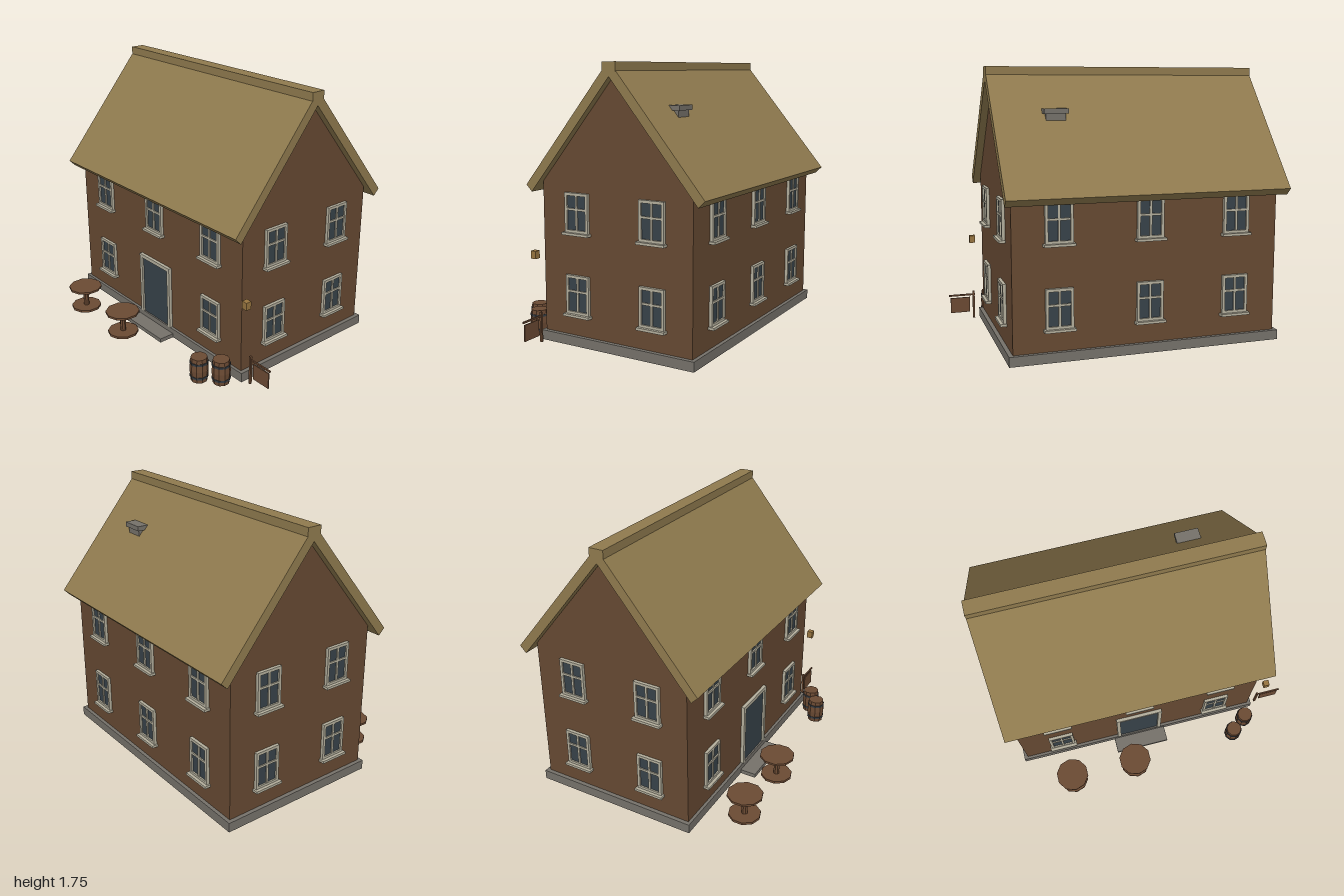
import * as THREE from 'three';

const mat = (name, color) => {
  const m = new THREE.MeshStandardMaterial({ color });
  m.name = name;
  return m;
};

export function createModel() {
  const wall = mat('brown wall', 0x664932);
  const thatch = mat('thatch', 0x8f7a4e);
  const stone = mat('grey stone', 0x75716a);
  const trim = mat('pale trim', 0xb3ae9c);
  const glass = mat('dark slate', 0x374249);
  const wood = mat('wood', 0x6b4a33);
  const iron = mat('iron', 0x363b40);
  const brass = mat('lantern gold', 0x97743f);

  const model = new THREE.Group();
  model.name = 'inn';

  const add = (parent, name, geo, material, x = 0, y = 0, z = 0) => {
    const mesh = new THREE.Mesh(geo, material);
    mesh.name = name;
    mesh.position.set(x, y, z);
    parent.add(mesh);
    return mesh;
  };
  // Box given by its min and max on each axis
  const box = (parent, name, material, x0, x1, y0, y1, z0, z1) =>
    add(parent, name, new THREE.BoxGeometry(x1 - x0, y1 - y0, z1 - z0), material,
      (x0 + x1) / 2, (y0 + y1) / 2, (z0 + z1) / 2);
  const group = (name, x, y, z, turn = 0) => {
    const g = new THREE.Group();
    g.name = name;
    g.position.set(x, y, z);
    g.rotation.y = turn;
    model.add(g);
    return g;
  };
  // Profile in (z, y), extruded along x from x0 to x1
  const alongX = (name, pts, material, x0, x1) => {
    const shape = new THREE.Shape(pts.map(([z, y]) => new THREE.Vector2(z, y)));
    const geo = new THREE.ExtrudeGeometry(shape, { depth: x1 - x0, bevelEnabled: false });
    geo.rotateY(-Math.PI / 2);
    return add(model, name, geo, material, x1, 0, 0);
  };

  // House body
  const midX = -0.097, midZ = -0.125, halfX = 0.856, halfZ = 0.535;
  const offset = (pts) => pts.map(([z, y]) => [z + midZ, y]);
  box(model, 'foundation', stone, -0.979, 0.786, 0, 0.062, -0.684, 0.429);
  alongX('gabledWalls', offset([
    [-halfZ, 0.06], [halfZ, 0.06], [halfZ, 1.02], [0, 1.664], [-halfZ, 1.02],
  ]), wall, midX - halfX, midX + halfX);

  // Roof: one chevron, with a square ridge cap
  alongX('roof', offset([
    [0.591, 0.955], [0.633, 0.997], [0.045, 1.705], [-0.045, 1.705],
    [-0.633, 0.997], [-0.591, 0.955], [0, 1.667],
  ]), thatch, -1, 0.805);
  box(model, 'ridgeCap', thatch, -1, 0.806, 1.696, 1.753, midZ - 0.048, midZ + 0.048);

  // Chimney on the back slope
  box(model, 'chimneyStack', stone, 0.357, 0.482, 1.36, 1.47, -0.402, -0.356);
  box(model, 'chimneyCap', stone, 0.342, 0.497, 1.466, 1.497, -0.417, -0.342);

  // Windows, built facing +z with the frame bottom at y = 0
  const w = 0.086, h = 0.248, bar = 0.018;
  const frameShape = new THREE.Shape([[-w, 0], [w, 0], [w, h], [-w, h]]
    .map((p) => new THREE.Vector2(...p)));
  frameShape.holes.push(new THREE.Path([[-w + bar, bar], [-w + bar, h - bar],
    [w - bar, h - bar], [w - bar, bar]].map((p) => new THREE.Vector2(...p))));
  const frameGeo = new THREE.ExtrudeGeometry(frameShape, { depth: 0.02, bevelEnabled: false });
  const addWindow = (x, y, z, turn) => {
    const g = group('window', x, y, z, turn);
    add(g, 'windowFrame', frameGeo, trim);
    box(g, 'windowGlass', glass, -w + 0.01, w - 0.01, 0.01, h - 0.01, 0.002, 0.01);
    box(g, 'mullion', trim, -0.007, 0.007, bar, h - bar, 0.008, 0.018);
    box(g, 'transom', trim, -w + bar, w - bar, 0.139, 0.153, 0.008, 0.018);
    box(g, 'windowSill', trim, -0.097, 0.097, -0.014, 0.002, 0, 0.04);
  };
  for (const y of [0.202, 0.718]) {
    for (const dx of [-0.572, 0, 0.572]) {
      if (dx !== 0 || y > 0.5) addWindow(midX + dx, y, midZ + halfZ, 0);
      addWindow(midX + dx, y, midZ - halfZ, Math.PI);
    }
    for (const z of [0.146, -0.392]) {
      addWindow(midX + halfX, y, z, Math.PI / 2);
      addWindow(midX - halfX, y, z, -Math.PI / 2);
    }
  }

  // Door and step
  const front = midZ + halfZ;
  box(model, 'door', glass, -0.24, 0.046, 0.062, 0.48, front, front + 0.009);
  box(model, 'doorJambLeft', trim, 0.042, 0.067, 0.062, 0.503, front, front + 0.022);
  box(model, 'doorJambRight', trim, -0.261, -0.236, 0.062, 0.503, front, front + 0.022);
  box(model, 'doorLintel', trim, -0.236, 0.042, 0.478, 0.503, front, front + 0.022);
  box(model, 'doorStep', stone, -0.289, 0.096, 0, 0.027, 0.42, 0.535);

  // Round tables
  const drum = (r0, r1, height, sides = 10) => {
    const geo = new THREE.CylinderGeometry(r0, r1, height, sides).toNonIndexed();
    geo.computeVertexNormals();
    return geo;
  };
  for (const x of [-0.655, -0.184]) {
    const g = group('table', x, 0, 0.644);
    add(g, 'tableTop', drum(0.115, 0.115, 0.014), wood, 0, 0.158, 0);
    add(g, 'tablePost', drum(0.02, 0.02, 0.14, 8), wood, 0, 0.082, 0);
    add(g, 'tableBase', drum(0.104, 0.104, 0.016), wood, 0, 0.008, 0);
  }

  // Barrels with two iron hoops
  for (const [x, z] of [[0.588, 0.604], [0.698, 0.518]]) {
    const g = group('barrel', x, 0, z);
    add(g, 'barrelLower', drum(0.06, 0.053, 0.082), wood, 0, 0.041, 0);
    add(g, 'barrelUpper', drum(0.053, 0.06, 0.082), wood, 0, 0.123, 0);
    for (const y of [0.034, 0.13]) {
      add(g, 'barrelHoop', drum(0.06, 0.06, 0.014), iron, 0, y, 0);
    }
  }

  // Hanging sign beside the corner
  box(model, 'signPost', wood, 0.822, 0.836, 0, 0.195, 0.388, 0.402);
  box(model, 'signArm', wood, 0.82, 1, 0.165, 0.176, 0.39, 0.4);
  box(model, 'signBoard', wood, 0.856, 0.99, 0.047, 0.153, 0.391, 0.399);

  // Corner lantern
  box(model, 'lantern', brass, 0.806, 0.845, 0.537, 0.587, 0.414, 0.452);

  return model;
}
